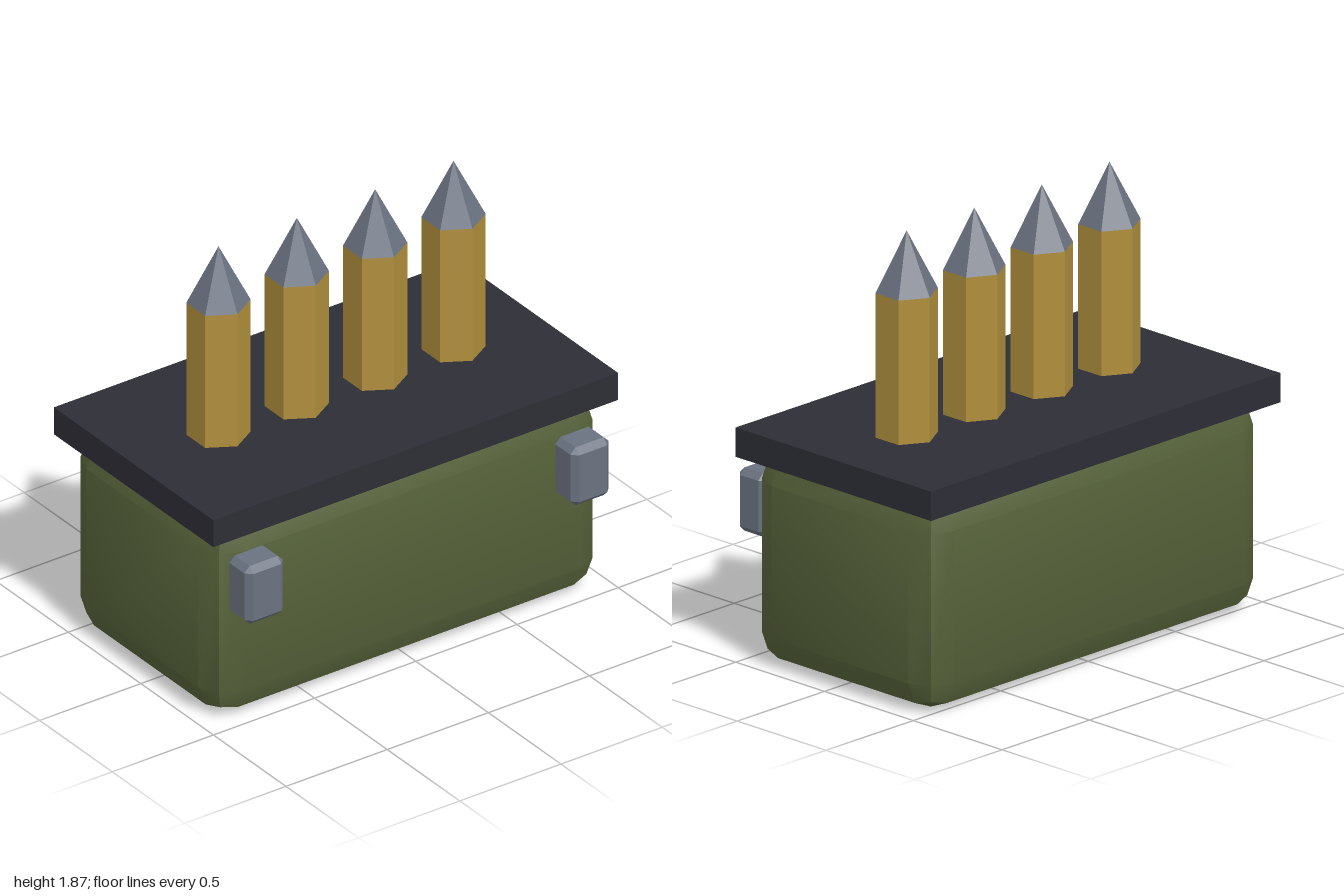
import * as THREE from 'three';
import { toCreasedNormals } from 'three/addons/utils/BufferGeometryUtils.js';
import { RoundedBoxGeometry } from 'three/addons/geometries/RoundedBoxGeometry.js';
import { ConvexGeometry } from 'three/addons/geometries/ConvexGeometry.js';

const material = (name, color, flatShading = false) =>
  Object.assign(new THREE.MeshStandardMaterial({ color }), { name, flatShading });

// Box with every edge cut at 45 degrees
function chamferBox(w, h, d, c) {
  const points = [];
  for (const x of [-w / 2, w / 2])
    for (const y of [-h / 2, h / 2])
      for (const z of [-d / 2, d / 2]) {
        const cx = x - Math.sign(x) * c, cy = y - Math.sign(y) * c, cz = z - Math.sign(z) * c;
        points.push(
          new THREE.Vector3(x, cy, cz),
          new THREE.Vector3(cx, y, cz),
          new THREE.Vector3(cx, cy, z));
      }
  return new ConvexGeometry(points);
}

export function createModel() {
  const model = new THREE.Group();
  model.name = 'ammunitionBox';
  const green = material('olive green', 0x556139);
  const dark = material('dark lid', 0x2d2d36);
  const steel = material('steel grey', 0x6a7280, true);
  const brass = material('brass', 0xb08f3c, true);
  const centreZ = -0.05;

  function add(name, geometry, mat, x, y, z, parent = model) {
    const mesh = new THREE.Mesh(geometry, mat);
    mesh.name = name;
    mesh.position.set(x, y, z);
    parent.add(mesh);
    return mesh;
  }

  // Case with softly bevelled edges
  const caseShape = toCreasedNormals(new RoundedBoxGeometry(1.92, 0.91, 1.03, 1, 0.13), Math.PI / 6);
  add('case', caseShape, green, 0, 0.455, centreZ + 0.003);

  // Overhanging lid
  add('lid', new THREE.BoxGeometry(2, 0.125, 1.1), dark, 0, 0.9375, centreZ);

  // Latches on the front
  const latch = chamferBox(0.19, 0.27, 0.155, 0.026);
  add('leftLatch', latch, steel, 0.805, 0.645, 0.5225);
  add('rightLatch', latch, steel, -0.805, 0.645, 0.5225);

  // Row of upright hexagonal cartridges
  const shell = new THREE.CylinderGeometry(0.13, 0.13, 0.615, 6);
  const tip = new THREE.ConeGeometry(0.13, 0.255, 6);
  for (let i = 0; i < 4; i++) {
    const cartridge = new THREE.Group();
    cartridge.name = `cartridge${i + 1}`;
    cartridge.position.set((i - 1.5) * 0.387, 1, centreZ);
    add('shell', shell, brass, 0, 0.3075, 0, cartridge);
    add('tip', tip, steel, 0, 0.7425, 0, cartridge);
    model.add(cartridge);
  }
  return model;
}
